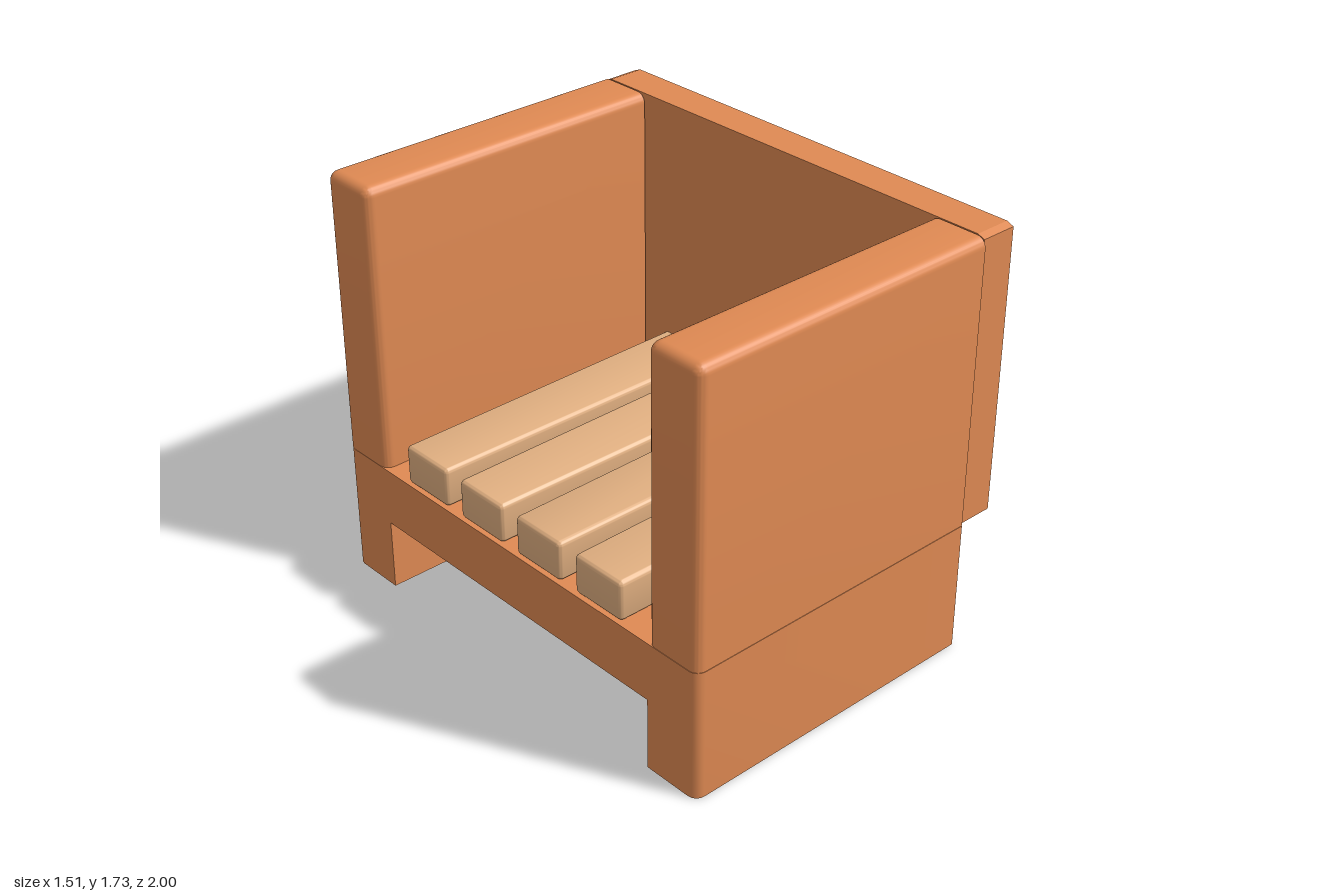
import * as THREE from 'three';
import { toCreasedNormals } from 'three/addons/utils/BufferGeometryUtils.js';
import { RoundedBoxGeometry } from 'three/addons/geometries/RoundedBoxGeometry.js';

const WOOD = new THREE.MeshStandardMaterial({ color: 0xe08a53 });
const SHELL = new THREE.MeshStandardMaterial({ color: 0xe08a53, side: THREE.DoubleSide });
const SLAT = new THREE.MeshStandardMaterial({ color: 0xe3b182 });

// Main planes: open side, rear end, inner and outer leg faces, apron edge, seat level
const FRONT = -0.755, REAR = 0.59, INNER = 0.75, OUTER = 1, APRON = 0.3, SEAT = 0.543;

// Box between two corners, rounded by r, except on the sides listed in `flat`,
// which are made too long by r and then pressed back to a plane.
function softBox(min, max, r, flat, move) {
  const lo = min.slice(), hi = max.slice();
  ['x', 'y', 'z'].forEach((axis, i) => {
    if (flat.includes('-' + axis)) lo[i] -= r;
    if (flat.includes('+' + axis)) hi[i] += r;
  });
  const geo = new RoundedBoxGeometry(hi[0] - lo[0], hi[1] - lo[1], hi[2] - lo[2], 4, r);
  geo.translate((lo[0] + hi[0]) / 2, (lo[1] + hi[1]) / 2, (lo[2] + hi[2]) / 2);
  const pos = geo.attributes.position;
  const p = new THREE.Vector3();
  const a = new THREE.Vector3(...min), b = new THREE.Vector3(...max);
  for (let i = 0; i < pos.count; i++) {
    p.fromBufferAttribute(pos, i).clamp(a, b);
    if (move) move(p);
    pos.setXYZ(i, p.x, p.y, p.z);
  }
  return toCreasedNormals(geo, 0.6);
}

// Upright wall following a plan path of [x, z] points
function wall(path, y0, y1) {
  const pos = [], index = [];
  path.forEach(([x, z], i) => {
    pos.push(x, y0, z, x, y1, z);
    if (i) index.push(2 * i - 2, 2 * i, 2 * i - 1, 2 * i - 1, 2 * i, 2 * i + 1);
  });
  const geo = new THREE.BufferGeometry();
  geo.setAttribute('position', new THREE.Float32BufferAttribute(pos, 3));
  geo.setIndex(index);
  return toCreasedNormals(geo, 0.6);
}

const toShape = (points) => new THREE.Shape(points.map(([u, v]) => new THREE.Vector2(u, v)));

// Level plate with a plan outline of [x, z] points
const plate = (outline, y) =>
  new THREE.ShapeGeometry(toShape(outline)).rotateX(Math.PI / 2).translate(0, y, 0);

export function createModel() {
  const model = new THREE.Group();
  model.name = 'slattedArmchair';
  const add = (name, geo, material) => {
    const mesh = new THREE.Mesh(geo, material);
    mesh.name = name;
    model.add(mesh);
  };

  // Arm panels and the hollow legs under them; the chair opens towards -x
  const r = 0.04;
  for (const [side, s] of [['left', 1], ['right', -1]]) {
    const z = [s * INNER, s * OUTER].sort((a, b) => a - b);
    add(side + 'Arm', softBox([FRONT, 0.545, z[0]], [REAR, 1.725, z[1]], r, ['+x', '-y']), WOOD);

    const path = [[FRONT, s * INNER]];
    for (let i = 0; i <= 4; i++) {
      const t = i * Math.PI / 8;
      path.push([FRONT + r - r * Math.cos(t), s * (OUTER - r + r * Math.sin(t))]);
    }
    path.push([REAR, s * OUTER], [REAR, s * INNER]);
    add(side + 'LegOuterWall', wall(path, 0, SEAT), SHELL);
    add(side + 'LegInnerWall', wall([[REAR, s * INNER], [FRONT, s * INNER]], 0, APRON), SHELL);
    add(side + 'LegFoot', plate(path, 0), SHELL);
    add(side + 'LegTop', plate(path, SEAT), SHELL);
  }

  // Seat deck and its front apron, open underneath and towards the backrest
  add('seatApron', wall([[FRONT, -INNER], [FRONT, INNER]], APRON, SEAT), SHELL);
  add('seatDeck', plate([[FRONT, -INNER], [0.597, -INNER], [0.597, INNER], [FRONT, INNER]], SEAT), SHELL);

  // Seat slats, slightly wider towards the backrest
  for (let i = 0; i < 4; i++) {
    const z = -0.5 + i * 0.327;
    const widen = (p) => { p.z = z + (p.z - z) * (1 + 0.075 * (p.x + 0.745)); };
    add('seatSlat' + (i + 1),
      softBox([-0.745, 0.545, z - 0.124], [0.597, 0.71, z + 0.124], 0.02, ['+x'], widen), SLAT);
  }

  // Backrest panel with small bevels on its upper corners
  const w = 0.987, top = 1.725, bw = 0.03, bh = 0.012;
  const back = toShape([
    [-w, SEAT], [w, SEAT], [w, top - bh], [w - bw, top], [bw - w, top], [-w, top - bh],
  ]);
  add('backrest', new THREE.ExtrudeGeometry(back, { depth: 0.155, bevelEnabled: false })
    .rotateY(Math.PI / 2).translate(0.597, 0, 0), WOOD);

  return model;
}
